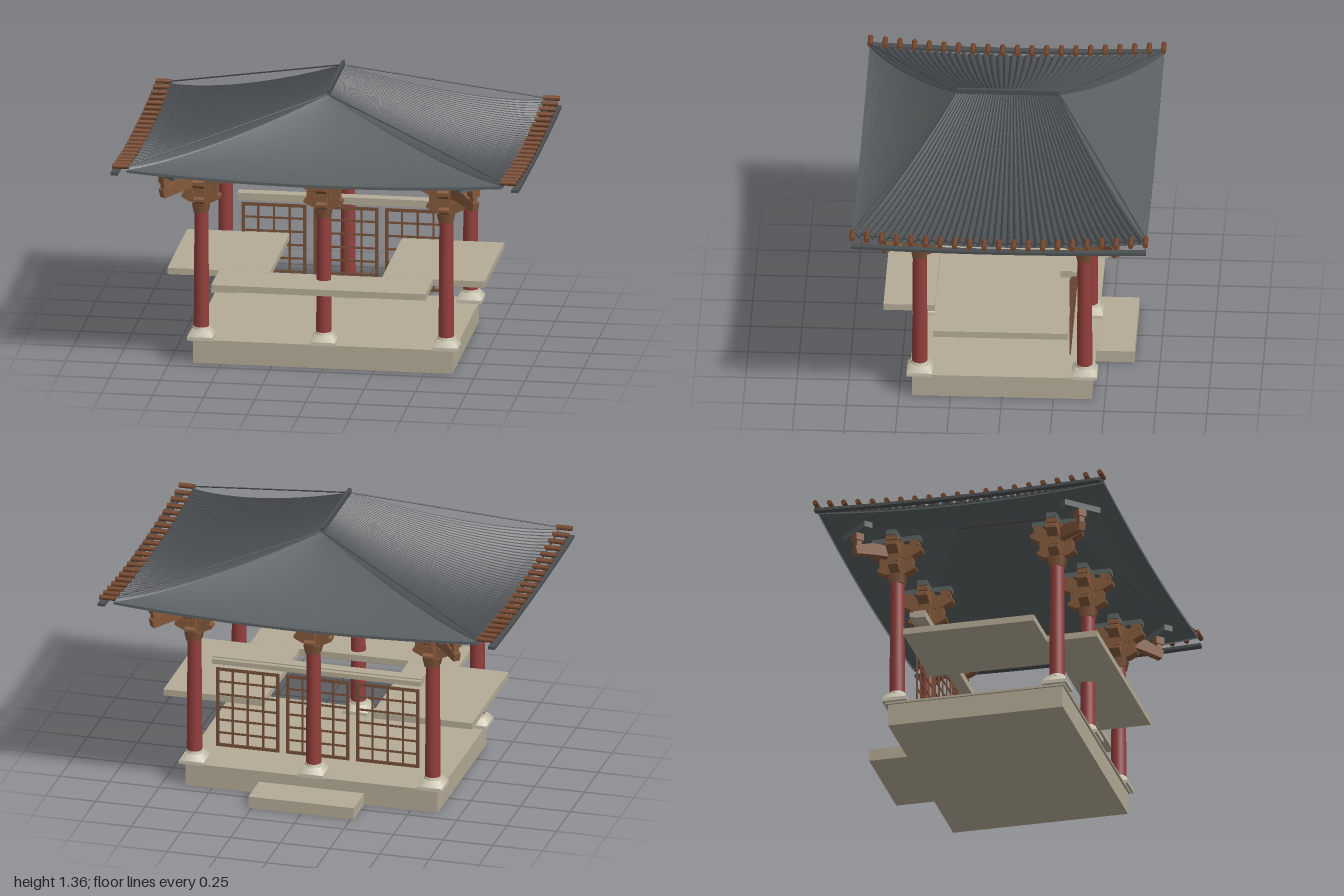
import * as THREE from 'three';

const mat = (name, color, double) => {
  const m = new THREE.MeshStandardMaterial({ color });
  m.name = name;
  if (double) m.side = THREE.DoubleSide;
  return m;
};

export function createModel() {
  const root = new THREE.Group();
  root.name = 'pavilion';
  const stone = mat('stone', 0xb4aa96), paleStone = mat('pale stone', 0xc6c0ac);
  const red = mat('red lacquer', 0x933f3d), wood = mat('bracket wood', 0x83583a);
  const lattice = mat('lattice wood', 0x765039), peg = mat('rafter wood', 0x75462c);
  const slate = mat('roof slate', 0x5a6062, true), tile = mat('roof tile', 0x4b4f51, true);

  const add = (parent, name, geo, m, x = 0, y = 0, z = 0) => {
    const mesh = new THREE.Mesh(geo, m);
    mesh.name = name;
    mesh.position.set(x, y, z);
    parent.add(mesh);
    return mesh;
  };
  // Box given by its limits on each axis
  const box = (parent, name, m, x0, x1, y0, y1, z0, z1) => add(parent, name,
    new THREE.BoxGeometry(x1 - x0, y1 - y0, z1 - z0), m, (x0 + x1) / 2, (y0 + y1) / 2, (z0 + z1) / 2);

  // Platform and rear step
  box(root, 'platform', stone, -0.635, 0.635, 0, 0.11, -0.437, 0.437);
  box(root, 'platformLip', stone, -0.645, 0.645, 0.11, 0.12, -0.447, 0.447);
  box(root, 'rearStep', stone, -0.265, 0.265, 0, 0.06, -0.627, -0.437);

  // Bench boards and rear shelf
  box(root, 'frontBench', stone, -0.525, 0.525, 0.41, 0.442, 0.33, 0.58);
  for (const s of [-1, 1])
    box(root, 'sideBench', stone, s > 0 ? 0.275 : -0.777, s > 0 ? 0.777 : -0.275, 0.41, 0.442, -0.325, 0.329);
  box(root, 'rearShelf', stone, -0.525, 0.525, 0.614, 0.65, -0.335, -0.28);
  box(root, 'rearShelfEdge', stone, -0.525, 0.525, 0.62, 0.644, -0.358, -0.335);

  // Three lattice screens
  for (const cx of [-0.352, 0, 0.352]) {
    const g = new THREE.Group();
    g.name = 'latticeScreen';
    g.position.set(cx, 0, -0.326);
    root.add(g);
    const w = 0.159, y0 = 0.176, y1 = 0.59;
    for (let i = 0; i <= 4; i++) {
      const h = i % 4 ? 0.005 : 0.008, x = -w + h + (2 * (w - h) * i) / 4;
      box(g, 'latticeUpright', lattice, x - h, x + h, y0, y1, -0.003, 0.003);
    }
    for (let i = 0; i <= 6; i++) {
      const h = i % 6 ? 0.005 : 0.008, y = y0 + h + ((y1 - y0 - 2 * h) * i) / 6;
      box(g, 'latticeRail', lattice, -w, w, y - h, y + h, -0.0025, 0.0025);
    }
  }

  // Boat-shaped bracket arm, centred on its column
  const armGeometry = (half, h, depth) => {
    const s = new THREE.Shape();
    s.moveTo(-half * 0.55, 0);
    s.lineTo(half * 0.55, 0);
    s.lineTo(half, h * 0.45);
    s.lineTo(half, h * 0.7);
    s.lineTo(half * 0.72, h);
    s.lineTo(-half * 0.72, h);
    s.lineTo(-half, h * 0.7);
    s.lineTo(-half, h * 0.45);
    s.closePath();
    return new THREE.ExtrudeGeometry(s, { depth, bevelEnabled: false }).translate(0, 0, -depth / 2);
  };
  const lowArm = armGeometry(0.095, 0.048, 0.05), highArm = armGeometry(0.128, 0.068, 0.055);
  const capital = new THREE.CylinderGeometry(0.058, 0.046, 0.05, 4, 1).rotateY(Math.PI / 4);
  const footFrustum = new THREE.CylinderGeometry(0.058, 0.088, 0.032, 4, 1).rotateY(Math.PI / 4);

  // Columns with stone feet and bracket sets
  for (const cx of [-0.6, 0, 0.6]) for (const cz of [-0.4, 0.4]) {
    const g = new THREE.Group();
    g.name = 'columnSet';
    g.position.set(cx, 0, cz);
    root.add(g);
    box(g, 'columnPlinth', paleStone, -0.062, 0.062, 0.12, 0.137, -0.062, 0.062);
    add(g, 'columnFoot', footFrustum, paleStone, 0, 0.153, 0);
    add(g, 'columnFootTop', new THREE.CylinderGeometry(0.041, 0.045, 0.012, 16), paleStone, 0, 0.174, 0);
    add(g, 'column', new THREE.CylinderGeometry(0.034, 0.038, 0.6, 20), red, 0, 0.47, 0);
    add(g, 'capital', capital, wood, 0, 0.785, 0);
    box(g, 'bracketCore', wood, -0.035, 0.035, 0.8, 0.985, -0.035, 0.035);
    for (const turn of [0, Math.PI / 2]) {
      const b = new THREE.Group();
      b.name = 'bracketArms';
      b.rotation.y = turn;
      g.add(b);
      add(b, 'lowerArm', lowArm, wood, 0, 0.812, 0);
      add(b, 'upperArm', highArm, wood, 0, 0.893, 0);
      for (const x of [-0.062, 0.062]) box(b, 'lowerBlock', wood, x - 0.02, x + 0.02, 0.856, 0.895, -0.025, 0.025);
      for (const x of [-0.09, 0, 0.09]) box(b, 'upperBlock', wood, x - 0.022, x + 0.022, 0.957, 0.982, -0.027, 0.027);
      box(b, 'bracketBeam', slate, -0.12, 0.12, 0.98, 1.006, -0.025, 0.025);
    }
    // Diagonal arm on the four corners
    if (cx !== 0) {
      const d = new THREE.Group();
      d.name = 'cornerArm';
      d.rotation.y = Math.atan2(-cz / 0.4, cx / 0.6);
      g.add(d);
      const s = new THREE.Shape();
      s.moveTo(0, 0.9);
      s.lineTo(0.14, 0.885);
      s.lineTo(0.235, 0.87);
      s.lineTo(0.245, 0.912);
      s.lineTo(0.15, 0.945);
      s.lineTo(0, 0.955);
      add(d, 'cornerArmBeam', new THREE.ExtrudeGeometry(s, { depth: 0.036, bevelEnabled: false }), wood, 0, 0, -0.018);
      box(d, 'cornerArmPost', wood, 0.208, 0.236, 0.905, 0.95, -0.014, 0.014);
      box(d, 'cornerArmBlock', wood, 0.2, 0.244, 0.943, 0.98, -0.022, 0.022);
      box(d, 'cornerArmCap', slate, 0.2, 0.244, 0.98, 1.01, -0.1, 0.1);
    }
  }

  // Sagging roof: t runs from ridge to eave, u along the eave from -1 to 1
  const ridgeY = 1.33, eaveY = u => 1.012 + 0.036 * u * u;
  const roofY = (t, u) => ridgeY + (eaveY(u) - ridgeY) * (1 - Math.pow(1 - t, 1.5));
  const sidePoint = (t, u) => [0.92 * t, roofY(t, u), u * (0.25 + 0.465 * t)];
  const endPoint = (t, u) => [0.92 * t * u, roofY(t, u), 0.25 + 0.465 * t];
  const ribs = 42;
  const ribbedPoint = (t, u) => {
    const [x, y, z] = sidePoint(t, u);
    return [x, y + (0.005 + 0.01 * t) * Math.abs(Math.sin((Math.PI * ribs * (u + 1)) / 2)), z];
  };
  const sheet = (fn, cols, rows, drop) => {
    const pos = [], idx = [];
    for (let j = 0; j <= rows + 1; j++) for (let i = 0; i <= cols; i++) {
      const p = fn(Math.min(j / rows, 1), (2 * i) / cols - 1);
      pos.push(p[0], p[1] - (j > rows ? drop : 0), p[2]);
    }
    for (let j = 0; j <= rows; j++) for (let i = 0; i < cols; i++) {
      const a = j * (cols + 1) + i, b = a + cols + 1;
      idx.push(a, a + 1, b, a + 1, b + 1, b);
    }
    const geo = new THREE.BufferGeometry();
    geo.setAttribute('position', new THREE.Float32BufferAttribute(pos, 3));
    geo.setIndex(idx);
    const flat = geo.toNonIndexed();
    flat.computeVertexNormals();
    return flat;
  };
  // Reversed u keeps the top of each sheet facing outward
  const ribbed = sheet(ribbedPoint, ribs * 6, 14, 0.014), under = sheet((t, u) => {
    const [x, y, z] = sidePoint(t, u);
    return [x, y - 0.006, z];
  }, 24, 14, 0.008);
  const end = sheet((t, u) => endPoint(t, -u), 24, 16, 0.014);

  for (const s of [0, 1]) {
    const half = new THREE.Group();
    half.name = 'roofHalf';
    half.rotation.y = s * Math.PI;
    root.add(half);
    add(half, 'tiledSlope', ribbed, tile);
    add(half, 'slopeUnderside', under, slate);
    add(half, 'endSlope', end, slate);
    // Rafter ends and the eave strip they carry
    for (let i = 0; i < 21; i++) {
      const u = i / 10 - 1;
      add(half, 'rafterEnd', new THREE.CylinderGeometry(0.0125, 0.0125, 0.08, 10).rotateZ(Math.PI / 2),
        peg, 0.95, 1.029 + 0.036 * u * u, u * 0.712);
    }
    const strip = new THREE.BoxGeometry(0.035, 0.014, 1.43, 1, 1, 24), p = strip.attributes.position;
    for (let i = 0; i < p.count; i++) p.setY(i, p.getY(i) + 0.014 * (p.getZ(i) / 0.715) ** 2);
    strip.computeVertexNormals();
    add(half, 'eaveStrip', strip, tile, 0.9825, 1.01, 0);
    // Straight hip rods
    for (const z of [-1, 1]) {
      const rod = new THREE.LineCurve3(new THREE.Vector3(0, 1.332, 0.25 * z), new THREE.Vector3(0.92, 1.066, 0.712 * z));
      add(half, 'hipRod', new THREE.TubeGeometry(rod, 1, 0.0035, 6), tile);
    }
  }
  box(root, 'ridgeCap', tile, -0.008, 0.008, 1.318, 1.355, -0.25, 0.25);
  return root;
}
